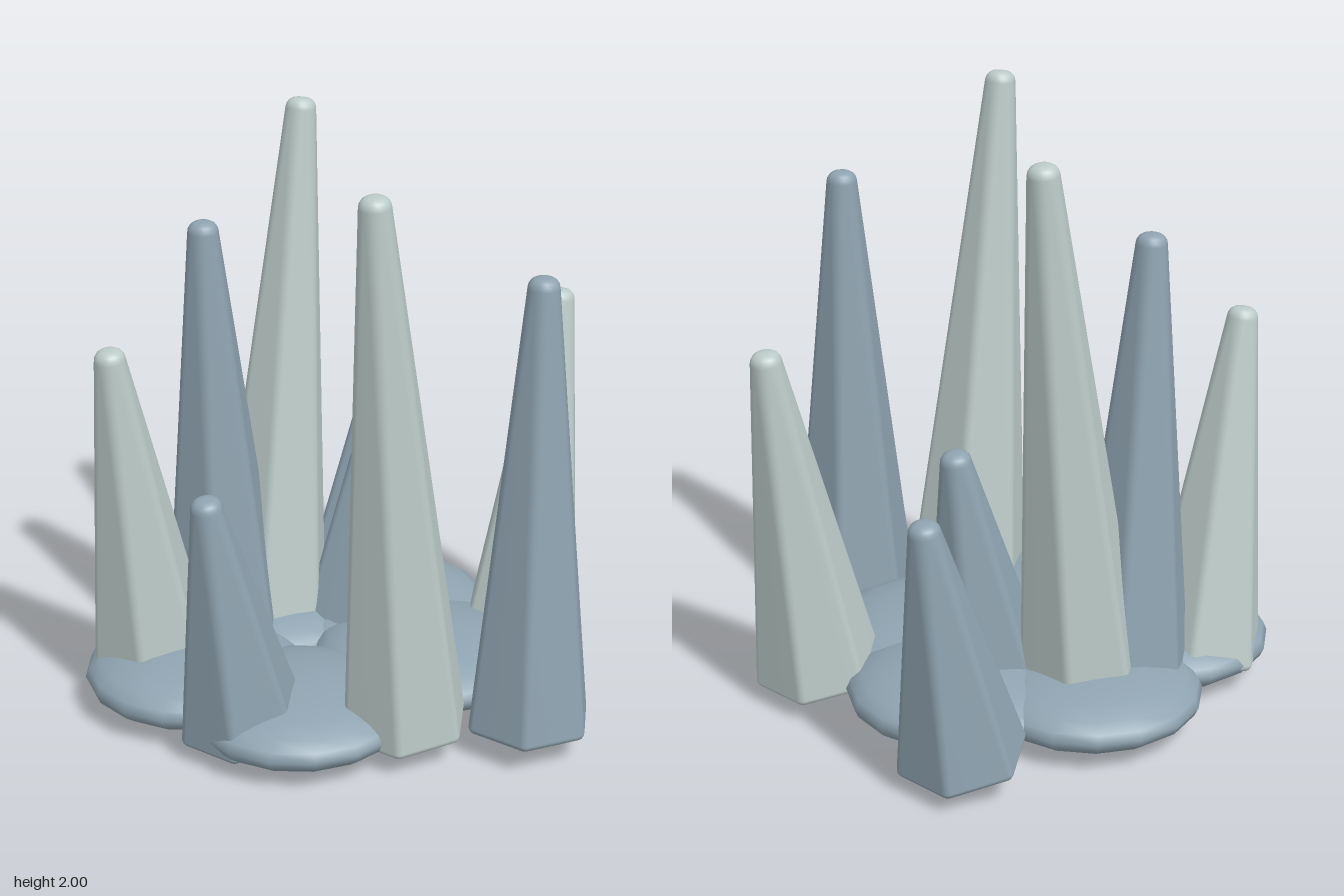
import * as THREE from 'three';

const SIDES = 6, ARC = 4;

// Outline of a hexagon with rounded corners: a = apothem, c = corner radius
function hexRing(a, c, y) {
  const pts = [];
  const d = (a - c) / Math.cos(Math.PI / 6);
  for (let k = 0; k < SIDES; k++) {
    const t = (k * Math.PI) / 3;
    for (let s = 0; s <= ARC; s++) {
      const u = t + (s / ARC - 0.5) * (Math.PI / 3);
      pts.push([d * Math.sin(t) + c * Math.sin(u), y, d * Math.cos(t) + c * Math.cos(u)]);
    }
  }
  return pts;
}

// Tapered six-sided shard with softened edges, standing on its own origin
function shardGeometry(length, base = 0.193, tip = 0.052) {
  const rings = [];
  const bevel = (a, c, b, yAt, from, to) => {
    for (let i = 0; i <= 4; i++) {
      const t = from + ((to - from) * i) / 4;
      const inset = b * (1 - Math.cos(t));
      rings.push(hexRing(a - inset, c - inset, yAt + b * Math.sin(t)));
    }
  };
  bevel(base, 0.03, 0.025, 0.025, -Math.PI / 2, 0);
  bevel(tip, 0.045, 0.035, length - 0.035, 0, Math.PI / 2);

  const n = rings[0].length;
  const pos = rings.flat(2);
  const index = [];
  for (let i = 0; i < rings.length - 1; i++) {
    for (let j = 0; j < n; j++) {
      const a = i * n + j, b = i * n + ((j + 1) % n);
      index.push(a, b, a + n, b, b + n, a + n);
    }
  }
  // End caps
  const bottom = rings.length * n, top = bottom + 1, last = (rings.length - 1) * n;
  pos.push(0, 0, 0, 0, length, 0);
  for (let j = 0; j < n; j++) {
    const k = (j + 1) % n;
    index.push(bottom, k, j, top, last + j, last + k);
  }
  const geo = new THREE.BufferGeometry();
  geo.setAttribute('position', new THREE.Float32BufferAttribute(pos, 3));
  geo.setIndex(index);
  geo.computeVertexNormals();
  return geo;
}

export function createModel() {
  const model = new THREE.Group();
  const blue = new THREE.MeshStandardMaterial({ color: 0x8fa3b0 });
  blue.name = 'slateBlue';
  const pale = new THREE.MeshStandardMaterial({ color: 0xbccbc8 });
  pale.name = 'paleGrey';

  // Flattened boulders forming the ground: x, z, radius
  const stones = new THREE.Group();
  stones.name = 'baseStones';
  const stoneGeo = new THREE.SphereGeometry(1, 16, 12);
  [
    [0.03, -0.515, 0.385],
    [-0.455, -0.425, 0.38],
    [-0.455, 0.03, 0.38],
    [0.31, -0.19, 0.39],
    [0.09, 0.15, 0.385],
  ].forEach(([x, z, r], i) => {
    const stone = new THREE.Mesh(stoneGeo, blue);
    stone.name = `baseStone${i + 1}`;
    stone.scale.set(r, 0.115, r);
    stone.position.set(x, 0.115, z);
    stones.add(stone);
  });
  model.add(stones);

  // Leaning shards: base x, z, tip x, tip height, material
  const shards = new THREE.Group();
  shards.name = 'shards';
  const up = new THREE.Vector3(0, 1, 0);
  [
    [-0.47, -0.595, -0.645, 1.325, pale],
    [-0.17, -0.52, -0.24, 1.67, blue],
    [0.0, -0.46, 0.227, 1.995, pale],
    [0.615, -0.48, 0.788, 0.985, blue],
    [0.17, -0.185, 0.335, 0.985, blue],
    [-0.62, -0.08, -0.79, 0.985, blue],
    [-0.3, 0.355, -0.475, 1.995, pale],
    [0.52, 0.285, 0.723, 1.32, pale],
    [-0.045, 0.68, -0.018, 1.67, blue],
  ].forEach(([x, z, tipX, tipY, material], i) => {
    const baseY = 0.085;
    const axis = new THREE.Vector3(tipX - x, tipY - baseY, 0);
    const shard = new THREE.Mesh(shardGeometry(axis.length()), material);
    shard.name = `shard${i + 1}`;
    shard.position.set(x, baseY, z);
    shard.quaternion.setFromUnitVectors(up, axis.normalize());
    shards.add(shard);
  });
  model.add(shards);

  return model;
}
